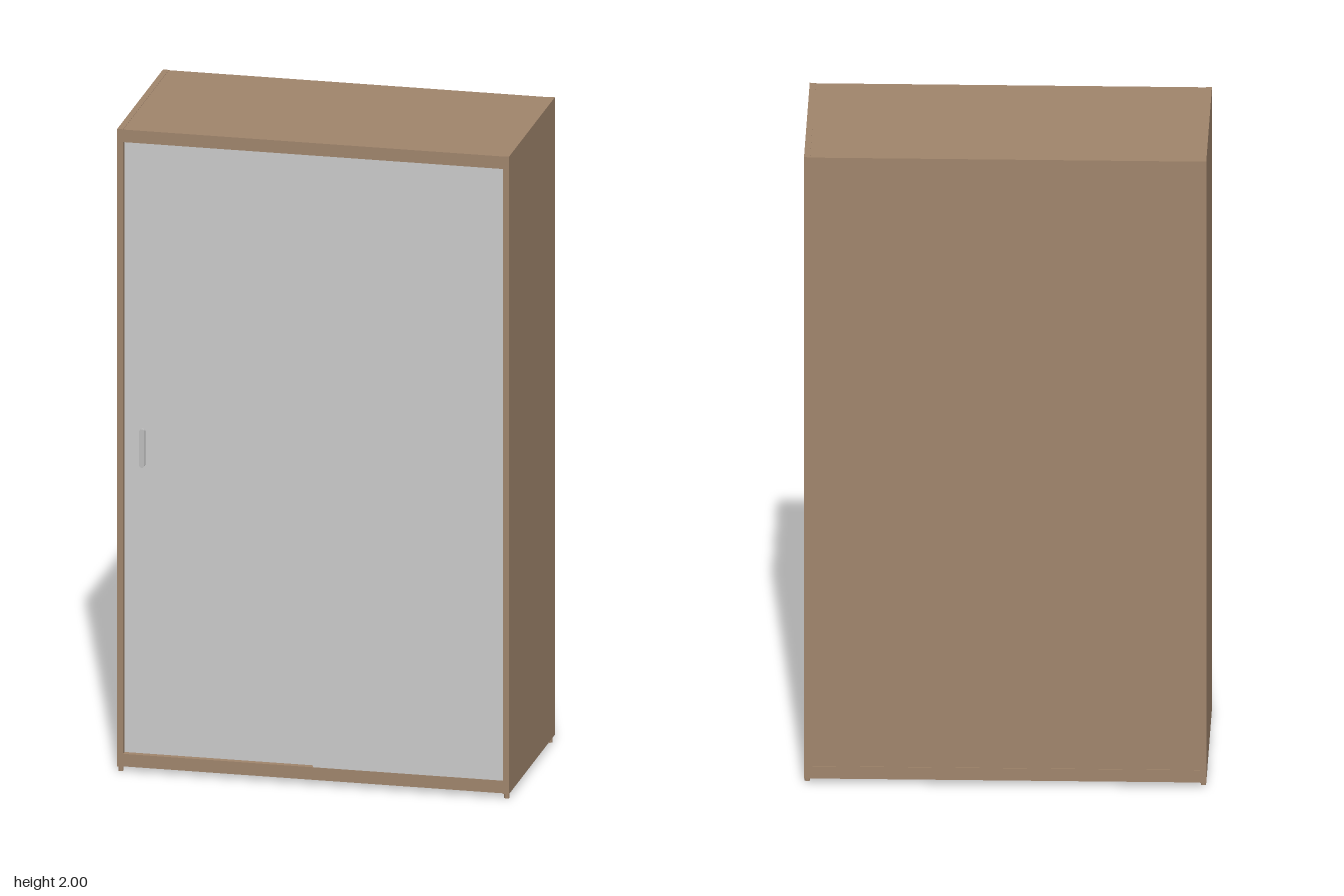
import * as THREE from 'three';

export function createModel() {
  const wood = new THREE.MeshStandardMaterial({ color: 0x9f846b });
  wood.name = 'brown wood';
  const grey = new THREE.MeshStandardMaterial({ color: 0xcacaca });
  grey.name = 'light grey panel';
  const metal = new THREE.MeshStandardMaterial({ color: 0xbdbdbd });
  metal.name = 'grey metal';

  const cabinet = new THREE.Group();
  cabinet.name = 'slidingDoorCabinet';

  // Box given by its lowest and highest corners
  const panel = (name, material, [x0, y0, z0], [x1, y1, z1]) => {
    const mesh = new THREE.Mesh(new THREE.BoxGeometry(x1 - x0, y1 - y0, z1 - z0), material);
    mesh.position.set((x0 + x1) / 2, (y0 + y1) / 2, (z0 + z1) / 2);
    mesh.name = name;
    cabinet.add(mesh);
  };

  const W = 0.597, D = 0.2985, T = 0.018; // half width, half depth, board thickness
  const base = 0.015, rail = 0.04;
  const inner = W - T, low = base + rail, high = 2 - rail;

  // Carcass
  panel('leftSide', wood, [inner, base, -D], [W, 2, D]);
  panel('rightSide', wood, [-W, base, -D], [-inner, 2, D]);
  panel('topBoard', wood, [-inner, high, -D], [inner, 1.999, D - 0.001]);
  panel('bottomBoard', wood, [-inner, base + 0.001, -D], [inner, low, D - 0.001]);
  panel('backPanel', wood, [-inner, low, -D + 0.002], [inner, high, -D + 0.012]);

  // Sliding doors: one near the front edge, one on the track behind it
  panel('frontDoor', grey, [0, low, D - 0.019], [inner, high, D - 0.002]);
  panel('rearDoor', grey, [-inner, low, D - 0.037], [0.02, high, D - 0.02]);

  // Upright pull handle with rounded ends on the rear door
  const r = 0.008, half = 0.052;
  const outline = new THREE.Shape();
  outline.absarc(0, half, r, 0, Math.PI, false);
  outline.absarc(0, -half, r, Math.PI, Math.PI * 2, false);
  outline.closePath();
  const handle = new THREE.Mesh(
    new THREE.ExtrudeGeometry(outline, { depth: 0.012, bevelEnabled: false, curveSegments: 10 }), metal);
  handle.position.set(-0.524, 1.007, D - 0.02);
  handle.name = 'handle';
  cabinet.add(handle);

  // Small feet under the corners
  for (const x of [-1, 1]) {
    for (const z of [0.288, -0.272]) {
      const foot = new THREE.Mesh(new THREE.CylinderGeometry(0.008, 0.008, base + 0.002, 16), wood);
      foot.position.set(x * (W - 0.009), (base + 0.002) / 2, z);
      foot.name = 'foot';
      cabinet.add(foot);
    }
  }
  return cabinet;
}
